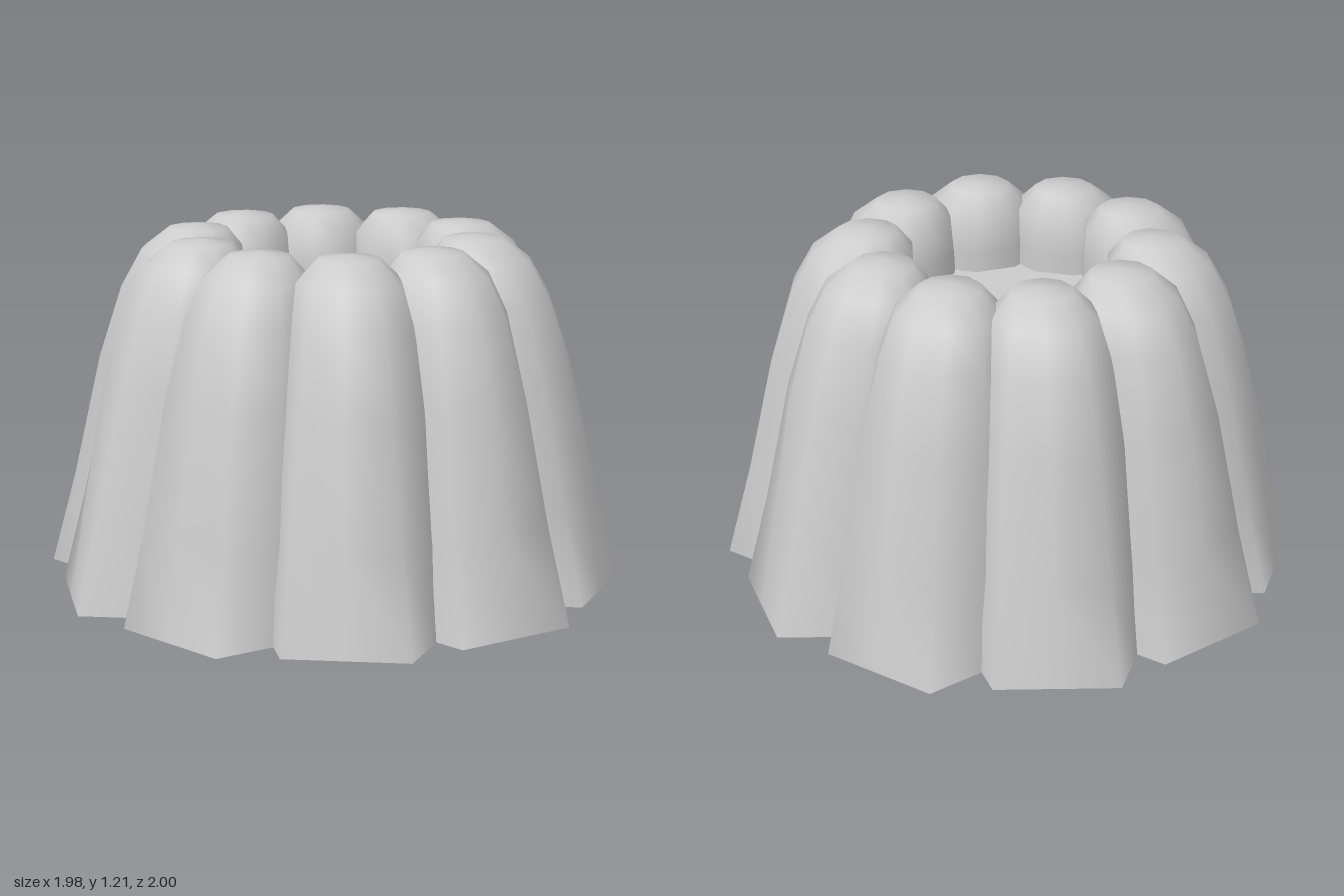
import * as THREE from 'three';
import { mergeVertices, toCreasedNormals } from 'three/addons/utils/BufferGeometryUtils.js';

const LOBES = 10;
const SIDES = 10;

// Lobe rings, bottom to top: height, distance from the axis, radius, roundness (0 pentagon, 1 round)
const RINGS = [
  [0, 0.672, 0.357, 0],
  [0.33, 0.63, 0.308, 0.4],
  [0.75, 0.578, 0.262, 0.75],
  [1.0, 0.54, 0.217, 1],
  [1.13, 0.505, 0.178, 1],
  [1.2, 0.485, 0.105, 1],
  [1.212, 0.48, 0, 1],
];

// One flute: pentagonal at the foot, leaning inward and closing in a dome
function lobeGeometry() {
  const profile = [new THREE.Vector2(0, 0), ...RINGS.map(([y, , r]) => new THREE.Vector2(r, y))];
  let geo = new THREE.LatheGeometry(profile, SIDES, Math.PI / 2);
  const pos = geo.attributes.position;
  const step = (2 * Math.PI) / SIDES;
  const twist = THREE.MathUtils.degToRad(11.2);
  for (let i = 0; i < pos.count; i++) {
    const x = pos.getX(i), y = pos.getY(i), z = pos.getZ(i);
    const [, centre, , round] = RINGS.find((ring) => Math.abs(ring[0] - y) < 1e-4);
    const side = Math.round(Math.atan2(z, x) / step);
    // every other vertex is the middle of a pentagon edge
    const squeeze = side % 2 === 0 ? THREE.MathUtils.lerp(Math.cos(Math.PI / 5), 1, round) : 1;
    const r = Math.hypot(x, z) * squeeze;
    const a = side * step + twist;
    pos.setXYZ(i, centre + r * Math.cos(a), y, r * Math.sin(a));
  }
  geo.deleteAttribute('normal');
  geo.deleteAttribute('uv');
  geo = mergeVertices(geo);
  return toCreasedNormals(geo, 1.4);
}

export function createModel() {
  const model = new THREE.Group();
  model.name = 'flutedCake';
  const material = new THREE.MeshStandardMaterial({ color: 0xcccccc });

  // Ring of flutes
  const geo = lobeGeometry();
  for (let i = 0; i < LOBES; i++) {
    const lobe = new THREE.Mesh(geo, material);
    lobe.name = `flute${i + 1}`;
    lobe.rotation.y = -THREE.MathUtils.degToRad(-2.4 + (360 / LOBES) * i);
    model.add(lobe);
  }

  // Solid core whose top is the sunken floor in the middle
  const core = new THREE.Mesh(new THREE.CylinderGeometry(0.48, 0.55, 0.93, 20), material);
  core.name = 'core';
  core.position.y = 0.465;
  model.add(core);

  return model;
}
